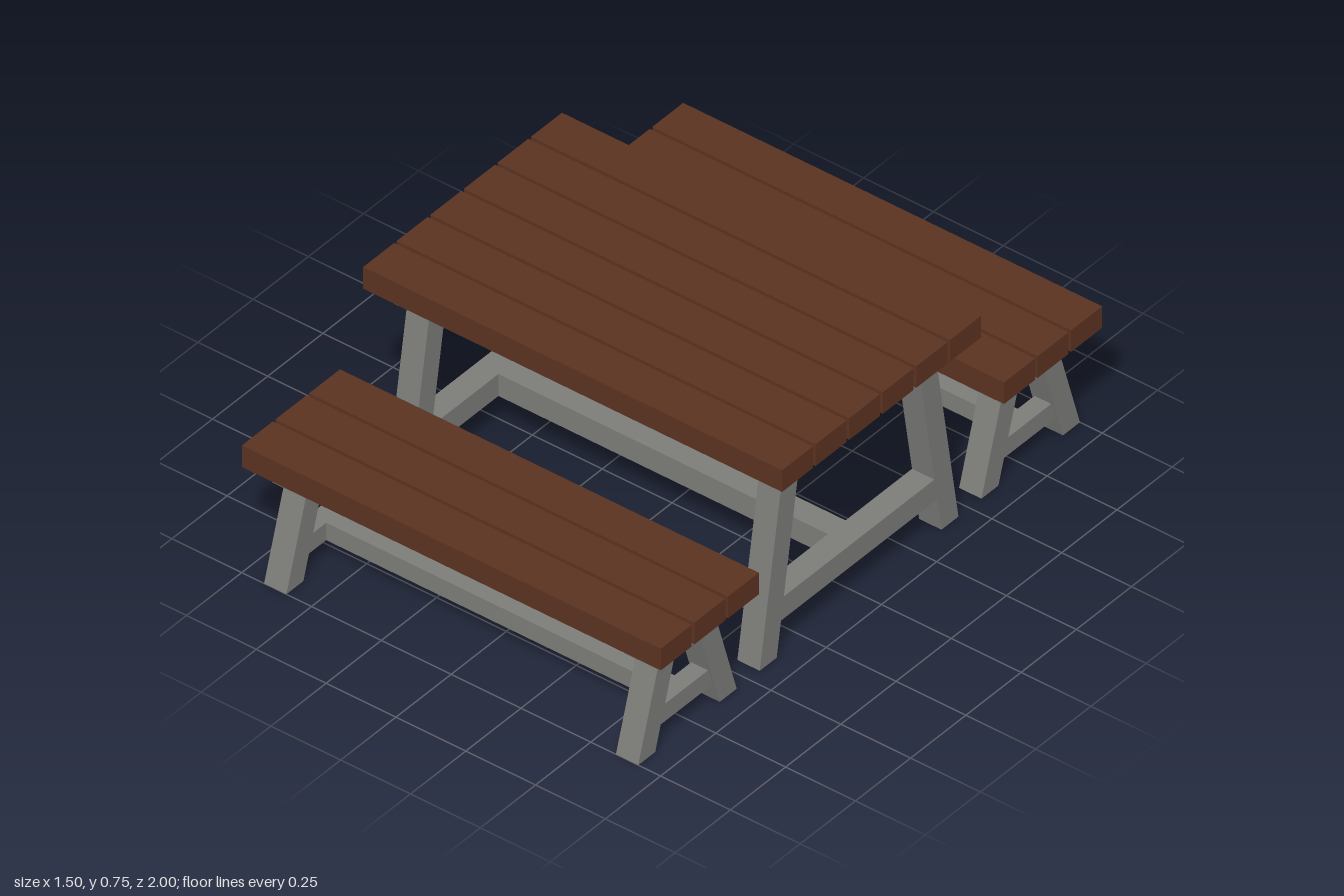
import * as THREE from 'three';

const wood = new THREE.MeshStandardMaterial({ color: 0x5c3321 });
wood.name = 'brown wood';
const frame = new THREE.MeshStandardMaterial({ color: 0x7d7d7a });
frame.name = 'grey frame';

function box(name, material, size, position) {
  const mesh = new THREE.Mesh(new THREE.BoxGeometry(...size), material);
  mesh.name = name;
  mesh.position.set(...position);
  return mesh;
}

// Slab with a [z, y] outline, extruded to the given width centred on x
function slab(name, outline, width, x) {
  const shape = new THREE.Shape(outline.map(([z, y]) => new THREE.Vector2(-z, y)));
  const geometry = new THREE.ExtrudeGeometry(shape, { depth: width, bevelEnabled: false });
  geometry.translate(0, 0, -width / 2);
  geometry.rotateY(Math.PI / 2);
  const mesh = new THREE.Mesh(geometry, frame);
  mesh.name = name;
  mesh.position.x = x;
  return mesh;
}

// A plank top on two splayed trestles joined by a long stretcher
function trestleFurniture(name, o) {
  const group = new THREE.Group();
  group.name = name;

  // Plank top
  for (let i = 0; i < o.planks; i++) {
    const z = (i - (o.planks - 1) / 2) * 0.152;
    group.add(box('plank', wood, [1.5, 0.077, 0.14], [0, o.top - 0.0385, z]));
  }

  const cleatTop = o.top - 0.077, legTop = cleatTop - 0.05;
  const inner = y => o.foot - o.legWidth - (o.foot - o.shoulder) * y / legTop;
  const [low, high] = o.rail;
  for (const x of [-0.63, 0.63]) {
    // Cleat under the planks
    group.add(box('cleat', frame, [0.1, 0.05, o.cleat * 2], [x, cleatTop - 0.025, 0]));
    // Splayed legs
    for (const s of [-1, 1]) {
      group.add(slab('leg', [
        [s * (o.foot - o.legWidth), 0], [s * o.foot, 0],
        [s * o.shoulder, legTop], [s * (o.shoulder - o.legWidth), legTop],
      ], 0.08, x));
    }
    // Crossbar fitted between the legs
    group.add(slab('crossbar', [
      [-inner(low), low], [inner(low), low], [inner(high), high], [-inner(high), high],
    ], o.railWidth, x));
  }
  // Long stretcher between the crossbars
  const length = 1.26 - o.railWidth;
  group.add(box('stretcher', frame, [length, high - low, o.railWidth], [0, (low + high) / 2, 0]));
  return group;
}

export function createModel() {
  const model = new THREE.Group();
  model.name = 'picnicTable';
  model.add(trestleFurniture('table', {
    planks: 6, top: 0.752, cleat: 0.4, foot: 0.45, shoulder: 0.348,
    legWidth: 0.077, rail: [0.12, 0.198], railWidth: 0.08,
  }));
  for (const [name, s] of [['frontBench', 1], ['backBench', -1]]) {
    const bench = trestleFurniture(name, {
      planks: 3, top: 0.452, cleat: 0.174, foot: 0.223, shoulder: 0.124,
      legWidth: 0.077, rail: [0.07, 0.132], railWidth: 0.06,
    });
    bench.position.z = s * 0.777;
    model.add(bench);
  }
  return model;
}
